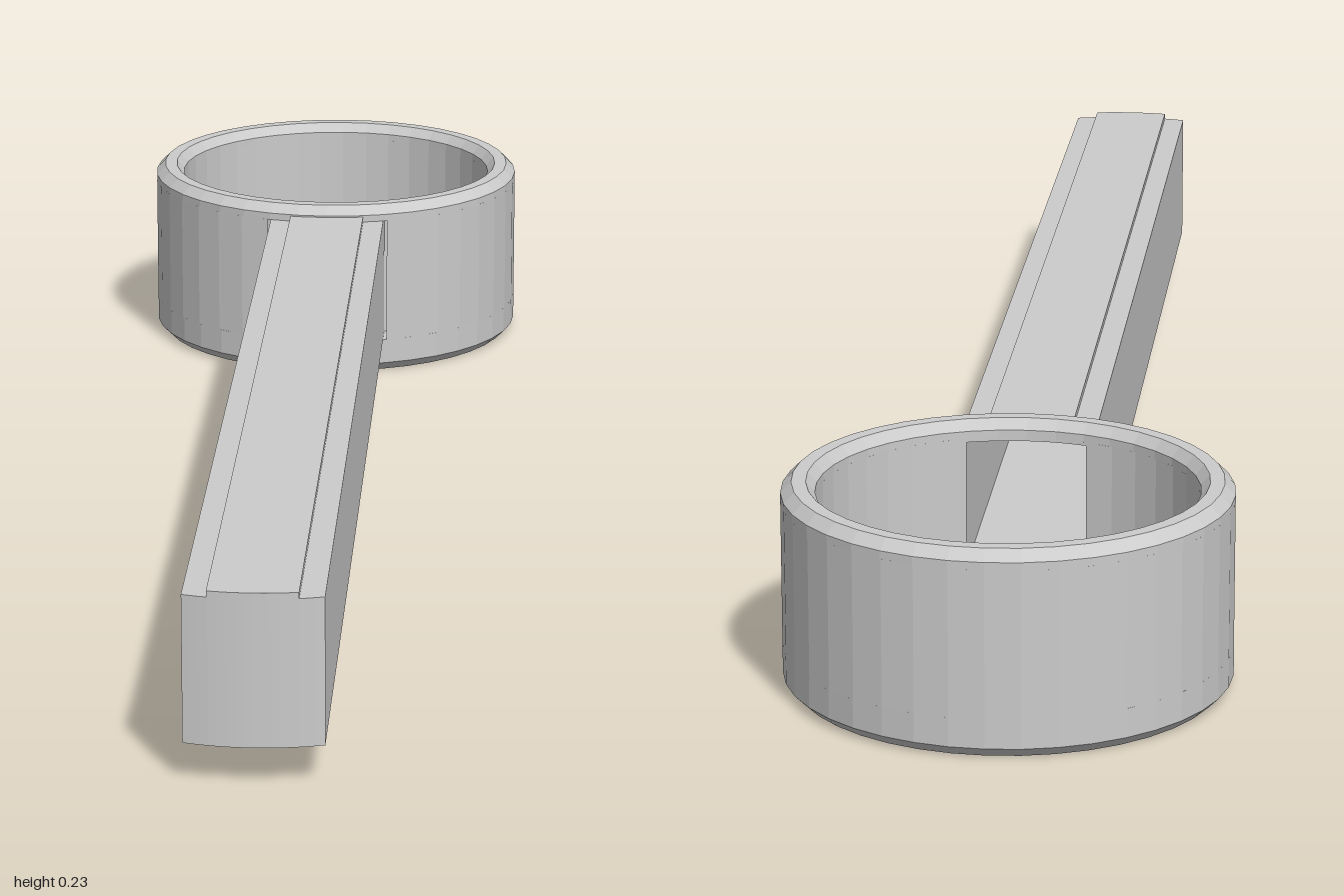
import * as THREE from 'three';

const material = new THREE.MeshStandardMaterial({ color: 0xcccccc, flatShading: true, side: THREE.DoubleSide });
const TIP = 1.752, HALF = 0.076, INNER = 0.212, OUTER = 0.25;

function add(parent, name, geometry, x = 0, y = 0, z = 0) {
  const mesh = new THREE.Mesh(geometry, material);
  mesh.name = name;
  mesh.position.set(x, y, z);
  parent.add(mesh);
  return mesh;
}

// Horizontal plate along the arm: hollow arc at the ring end, rounded tip
function plate(half, bottom, top, startRadius, startZ = 0) {
  const shape = new THREE.Shape();
  const a = Math.asin(half / startRadius);
  const b = Math.asin(half / OUTER);
  if (startZ) {
    shape.moveTo(-half, startZ);
    shape.lineTo(half, startZ);
  } else {
    shape.absarc(0, 0, startRadius, Math.PI / 2 + a, Math.PI / 2 - a, true);
  }
  shape.absarc(0, TIP - OUTER, OUTER, Math.PI / 2 - b, Math.PI / 2 + b, false);
  shape.closePath();
  const geometry = new THREE.ExtrudeGeometry(shape, { depth: top - bottom, bevelEnabled: false, curveSegments: 8 });
  return geometry.rotateX(Math.PI / 2).translate(0, top, 0);
}

function lathe(points, segments, start, length) {
  const profile = [...points, points[0]].map(([r, y]) => new THREE.Vector2(r, y));
  return new THREE.LatheGeometry(profile, segments, start, length);
}

export function createModel() {
  const model = new THREE.Group();
  const body = new THREE.Group();
  body.name = 'ringAndArm';
  body.position.z = -0.75;
  body.rotation.y = -0.0576;
  model.add(body);

  // Chamfered ring, with its wall open where the hollow arm joins
  const low = 0.045, high = 0.212, height = 0.233, c = 0.012;
  const gap = Math.asin(HALF / 0.235);
  const ring = new THREE.Group();
  ring.name = 'ring';
  body.add(ring);
  add(ring, 'ringBottom', lathe([[0.222, 0], [0.238, 0], [OUTER, c], [OUTER, low], [INNER, low], [INNER, c]], 40));
  add(ring, 'ringWall', lathe([[INNER, low], [OUTER, low], [OUTER, high], [INNER, high]], 36, gap, Math.PI * 2 - gap * 2));
  add(ring, 'ringTop', lathe([[INNER, high], [OUTER, high], [OUTER, height - c], [0.238, height], [0.222, height], [INNER, height - c]], 40));

  // Hollow arm
  const arm = new THREE.Group();
  arm.name = 'arm';
  body.add(arm);
  const t = 0.004;
  add(arm, 'armFloor', plate(HALF, low, low + t, INNER));
  add(arm, 'armRoof', plate(HALF, high - t, high, INNER));
  add(arm, 'armTip', plate(HALF, low, high, INNER, TIP - 0.03));
  add(arm, 'raisedStrip', plate(0.049, high, 0.219, 0.24));
  const sideStart = 0.2, sideEnd = TIP - 0.02;
  for (const s of [-1, 1]) {
    add(arm, 'armSide', new THREE.BoxGeometry(t, high - low, sideEnd - sideStart),
      s * (HALF - t / 2), (low + high) / 2, (sideStart + sideEnd) / 2);
  }

  // Thin rods running under the arm
  const rodStart = 0.25, rodEnd = 1.37;
  for (let i = 0; i < 6; i++) {
    const rod = new THREE.CylinderGeometry(0.0065, 0.0065, rodEnd - rodStart, 10).rotateX(Math.PI / 2);
    add(body, 'rod', rod, -0.048 + i * 0.0192, 0.032, (rodStart + rodEnd) / 2);
  }

  // Clips holding the rods: a centre block with a stepped flange on each side
  for (const z of [0.282, 0.787, 1.356]) {
    const clip = new THREE.Group();
    clip.name = 'rodClip';
    clip.position.z = z;
    body.add(clip);
    add(clip, 'clipBlock', new THREE.BoxGeometry(0.124, 0.025, 0.03), 0, 0.0325, 0);
    add(clip, 'clipPlate', new THREE.BoxGeometry(0.124, 0.012, 0.06), 0, 0.034, 0);
    for (const s of [-1, 1]) {
      add(clip, 'clipFlange', new THREE.BoxGeometry(0.124, 0.025, 0.012), 0, 0.0325, s * 0.03);
    }
  }
  return model;
}
